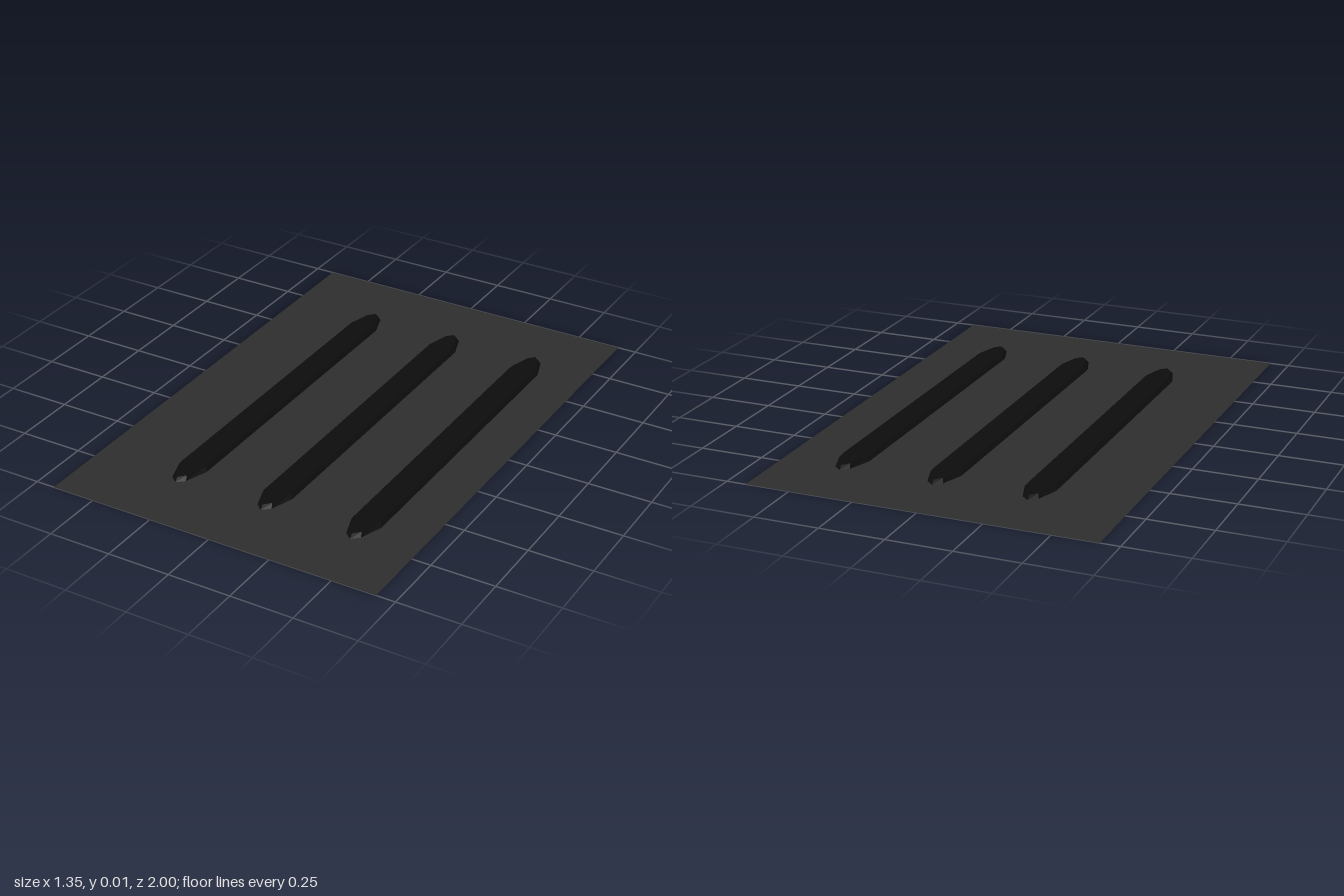
import * as THREE from 'three';

const HALF_W = 0.675, HALF_L = 1, RIB_H = 0.015;
const RIB_X = [-0.311, 0.058, 0.428];

// Pointed slot outline, counter-clockwise seen from above (x, -z)
const right = [[0, -0.75], [0.03, -0.724], [0.061, -0.632], [0.061, 0.632], [0.03, 0.724]];
const outline = [...right, ...right.map(([x, y]) => [-x, -y])];

// Thin sheet with one slot per rib
function makeSheet(material) {
  const shape = new THREE.Shape([
    new THREE.Vector2(-HALF_W, -HALF_L), new THREE.Vector2(HALF_W, -HALF_L),
    new THREE.Vector2(HALF_W, HALF_L), new THREE.Vector2(-HALF_W, HALF_L),
  ]);
  for (const cx of RIB_X) {
    shape.holes.push(new THREE.Path(outline.map(([x, y]) => new THREE.Vector2(x + cx, y)).reverse()));
  }
  const sheet = new THREE.Mesh(new THREE.ShapeGeometry(shape).rotateX(-Math.PI / 2), material);
  sheet.name = 'sheet';
  return sheet;
}

// Raised rib, open below: sloping walls up to a flat, inset top
function makeRibGeometry() {
  const base = outline.map(([x, y]) => [x, 0, -y]);
  const top = outline.map(([x, y]) => [x * 0.79, RIB_H, -y * 0.98]);
  const centre = [0, RIB_H, 0];
  const positions = [];
  base.forEach((b0, i) => {
    const j = (i + 1) % base.length;
    positions.push(...b0, ...base[j], ...top[j], ...b0, ...top[j], ...top[i]);
    positions.push(...top[i], ...top[j], ...centre);
  });
  const geometry = new THREE.BufferGeometry();
  geometry.setAttribute('position', new THREE.Float32BufferAttribute(positions, 3));
  geometry.computeVertexNormals();
  return geometry;
}

export function createModel() {
  const group = new THREE.Group();
  group.name = 'ribbedSheet';
  const sheetMaterial = new THREE.MeshStandardMaterial({ color: 0x2e2e2e, side: THREE.DoubleSide });
  const ribMaterial = new THREE.MeshStandardMaterial({ color: 0x0d0d0d, side: THREE.DoubleSide, flatShading: true });

  group.add(makeSheet(sheetMaterial));

  const ribGeometry = makeRibGeometry();
  RIB_X.forEach((x, i) => {
    const rib = new THREE.Mesh(ribGeometry, ribMaterial);
    rib.name = ['rightRib', 'middleRib', 'leftRib'][i];
    rib.position.x = x;
    group.add(rib);
  });
  return group;
}
